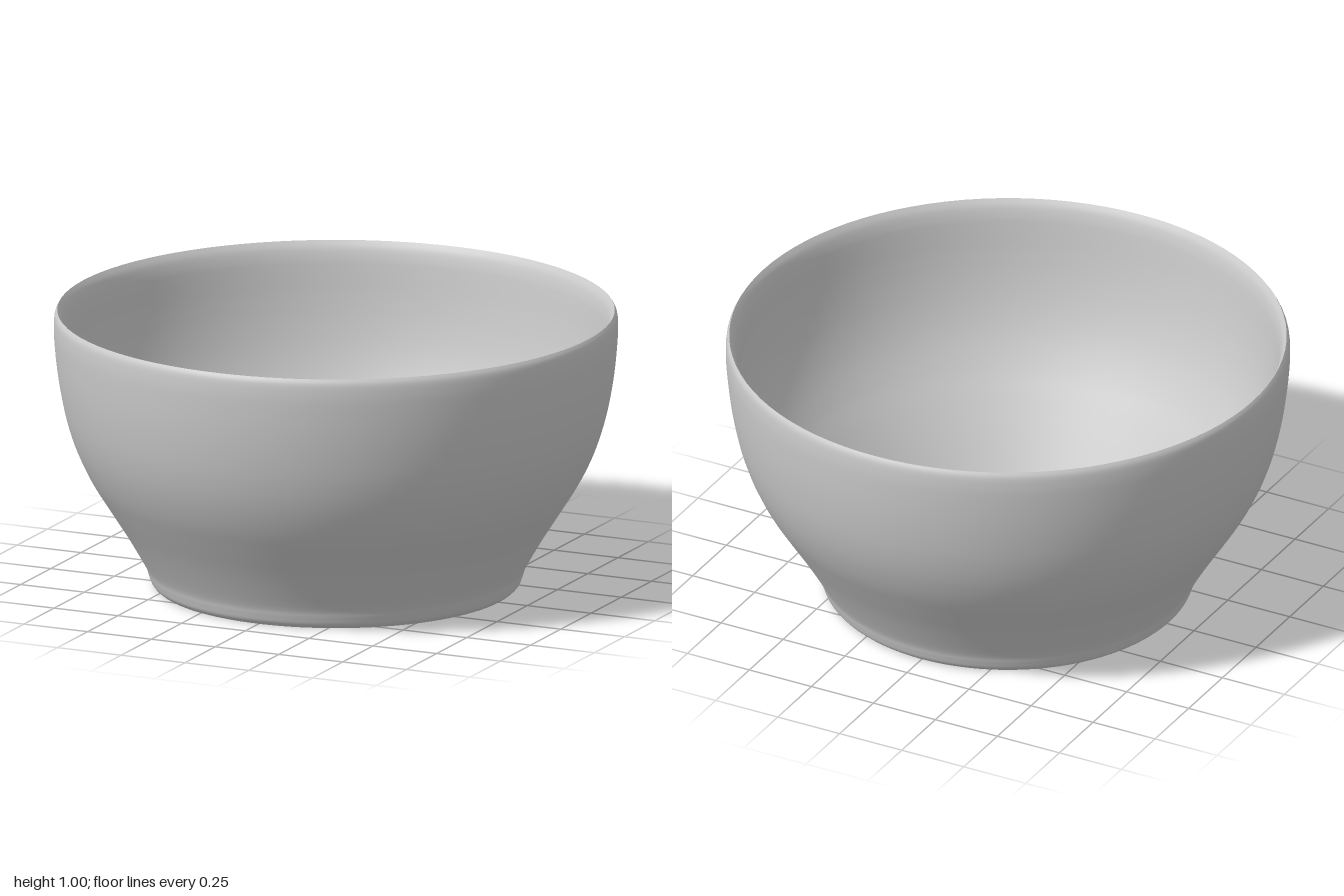
import * as THREE from 'three';

export function createModel() {
  const bowl = new THREE.Group();
  bowl.name = 'bowl';
  const ceramic = new THREE.MeshStandardMaterial({ color: 0xcccccc });
  ceramic.name = 'pale grey ceramic';

  const segments = 96;
  const baseRadius = 0.64;
  const floorRadius = 0.62;
  const floorHeight = 0.06;

  function addPart(name, geometry) {
    const mesh = new THREE.Mesh(geometry, ceramic);
    mesh.name = name;
    bowl.add(mesh);
    return mesh;
  }

  // Smooth turned surface through a few [radius, height] points
  function turned(points) {
    const curve = new THREE.SplineCurve(points.map(([r, y]) => new THREE.Vector2(r, y)));
    return new THREE.LatheGeometry(curve.getPoints(60), segments);
  }

  // Outside: rounded foot, slight neck, flared belly, lip turned in a little
  addPart('outerWall', turned([
    [baseRadius, 0], [0.655, 0.015], [0.665, 0.042], [0.68, 0.082], [0.745, 0.195],
    [0.815, 0.305], [0.873, 0.4], [0.92, 0.5], [0.953, 0.6], [0.975, 0.7],
    [0.99, 0.8], [0.999, 0.9], [1.0, 0.95], [0.997, 0.982], [0.988, 1.0],
  ]));

  // Inside: from the thin rim down over the rounded lip to the floor
  addPart('innerWall', turned([
    [0.988, 1.0], [0.974, 0.975], [0.965, 0.94], [0.96, 0.9], [0.95, 0.8],
    [0.935, 0.7], [0.912, 0.6], [0.877, 0.5], [0.827, 0.4], [0.768, 0.305],
    [0.7, 0.195], [floorRadius, floorHeight],
  ]));

  // Flat inside floor and flat underside
  addPart('floor', new THREE.CircleGeometry(floorRadius, segments).rotateX(-Math.PI / 2)).position.y = floorHeight;
  addPart('underside', new THREE.CircleGeometry(baseRadius, segments).rotateX(Math.PI / 2));

  return bowl;
}
